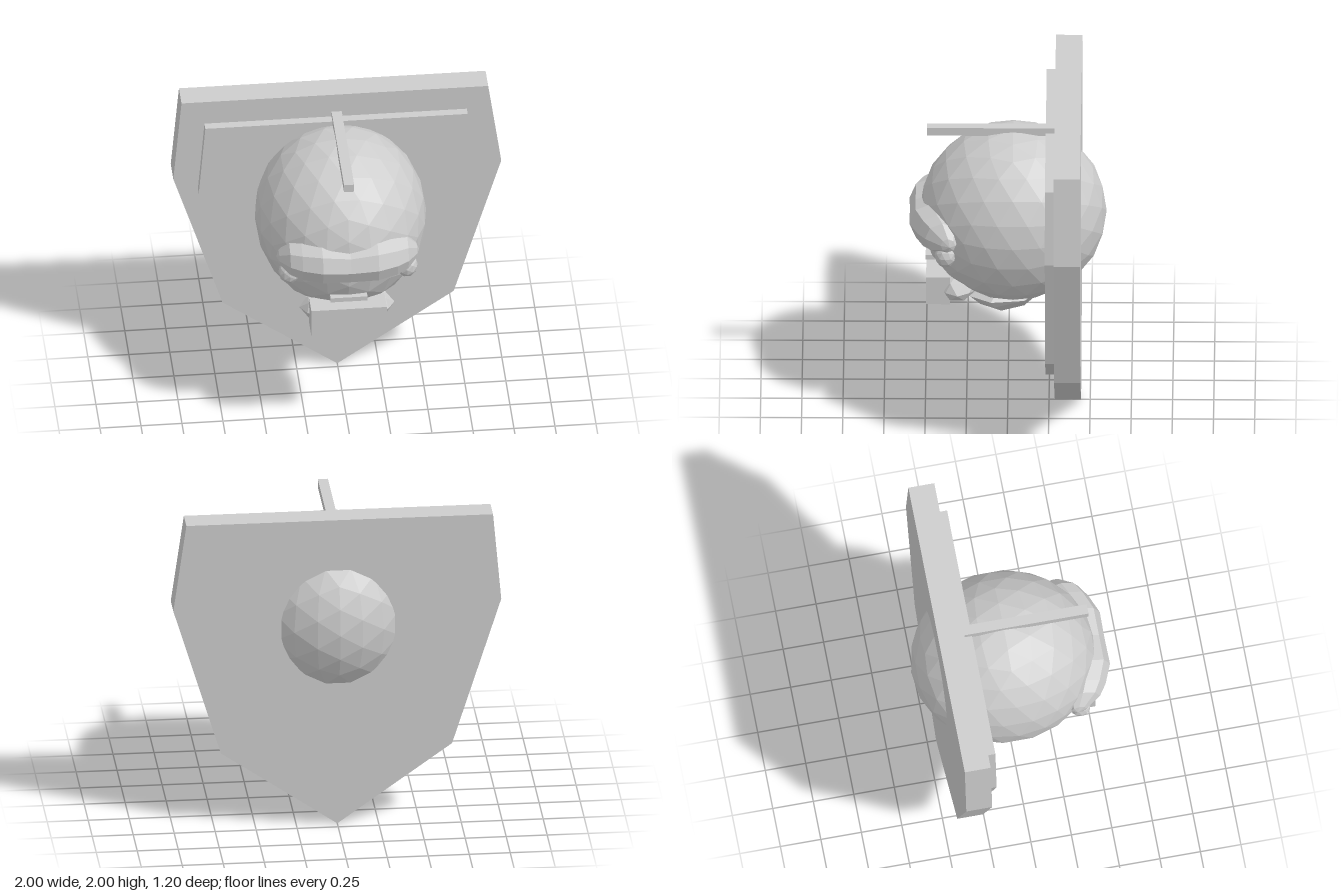
import * as THREE from 'three';
import { ConvexGeometry } from 'three/addons/geometries/ConvexGeometry.js';

const grey = new THREE.MeshStandardMaterial({ color: 0xcccccc, flatShading: true });
grey.name = 'plain grey';

function add(group, name, geometry, x = 0, y = 0, z = 0) {
  const mesh = new THREE.Mesh(geometry, grey);
  mesh.name = name;
  mesh.position.set(x, y, z);
  group.add(mesh);
  return mesh;
}

// Faceted ellipsoid
function blob(rx, ry, rz, detail) {
  return new THREE.IcosahedronGeometry(1, detail).scale(rx, ry, rz);
}

// Flat plate from an outline in x and y
function plate(points, depth) {
  const shape = new THREE.Shape(points.map(([x, y]) => new THREE.Vector2(x, y)));
  return new THREE.ExtrudeGeometry(shape, { depth, bevelEnabled: false });
}

// Curved brow lofted from rings along x: [x, y, z, radius]
function browGeometry() {
  const half = [[0, 1.285, 0.475, 0.12], [0.17, 1.295, 0.465, 0.132], [0.29, 1.29, 0.425, 0.122],
    [0.36, 1.29, 0.395, 0.105], [0.42, 1.275, 0.36, 0.045], [0.435, 1.27, 0.35, 0]];
  const rings = [...half.slice(1).reverse().map(([x, ...r]) => [-x, ...r]), ...half];
  const sides = 8, pos = [], index = [];
  rings.forEach(([x, y, z, r], i) => {
    for (let j = 0; j < sides; j++) {
      const a = (j / sides) * Math.PI * 2;
      pos.push(x, y + Math.cos(a) * r, z + Math.sin(a) * r);
      if (i === rings.length - 1) continue;
      const k = (j + 1) % sides;
      const A = i * sides + j, B = A + sides, C = i * sides + k, D = C + sides;
      index.push(A, C, B, B, C, D);
    }
  });
  const geometry = new THREE.BufferGeometry();
  geometry.setAttribute('position', new THREE.Float32BufferAttribute(pos, 3));
  geometry.setIndex(index);
  geometry.computeVertexNormals();
  return geometry;
}

export function createModel() {
  const model = new THREE.Group();
  model.name = 'mountedHead';

  // Wall shield with a raised inner panel
  add(model, 'shield', plate([[-0.95, 2], [-1, 1.44], [-0.7, 0.5], [0, 0],
    [0.71, 0.49], [1, 1.44], [0.92, 2]], 0.16), 0, 0, -0.445);
  add(model, 'innerPanel', plate([[-0.81, 1.84], [-0.85, 1.36], [-0.6, 0.56], [0, 0.17],
    [0.6, 0.56], [0.83, 1.36], [0.79, 1.84]], 0.055), 0, 0, -0.285);

  // Head pushed through the shield
  add(model, 'head', blob(0.522, 0.555, 0.568, 3), -0.006, 1.297, -0.032);

  // Pointed chin
  const chin = [[0, 0.615, 0.02], [0, 0.655, 0.17], [0, 0.645, -0.1], [0, 0.76, 0.27],
    [0, 0.76, -0.22], [0, 0.9, 0]];
  for (const s of [-1, 1]) {
    chin.push([s * 0.09, 0.655, 0.04], [s * 0.2, 0.735, 0.08], [s * 0.235, 0.785, 0.1],
      [s * 0.18, 0.77, -0.1], [s * 0.12, 0.77, 0.23]);
  }
  add(model, 'chin', new ConvexGeometry(chin.map((p) => new THREE.Vector3(...p))));

  // Face
  add(model, 'brow', browGeometry());
  for (const [side, name] of [[-1, 'rightEye'], [1, 'leftEye']]) {
    add(model, name, blob(0.067, 0.078, 0.065, 1), side * 0.358, 1.178, 0.377);
  }
  add(model, 'muzzle', blob(0.29, 0.112, 0.135, 1), 0, 0.857, 0.305);
  add(model, 'mouthBlock', new THREE.BoxGeometry(0.46, 0.185, 0.145), -0.005, 0.862, 0.422);
  add(model, 'noseBar', new THREE.BoxGeometry(0.225, 0.03, 0.12), -0.005, 1.029, 0.438);

  // Rod along the crown
  add(model, 'crownRod', new THREE.BoxGeometry(0.062, 0.052, 0.775), -0.004, 1.849, 0.102);
  return model;
}
